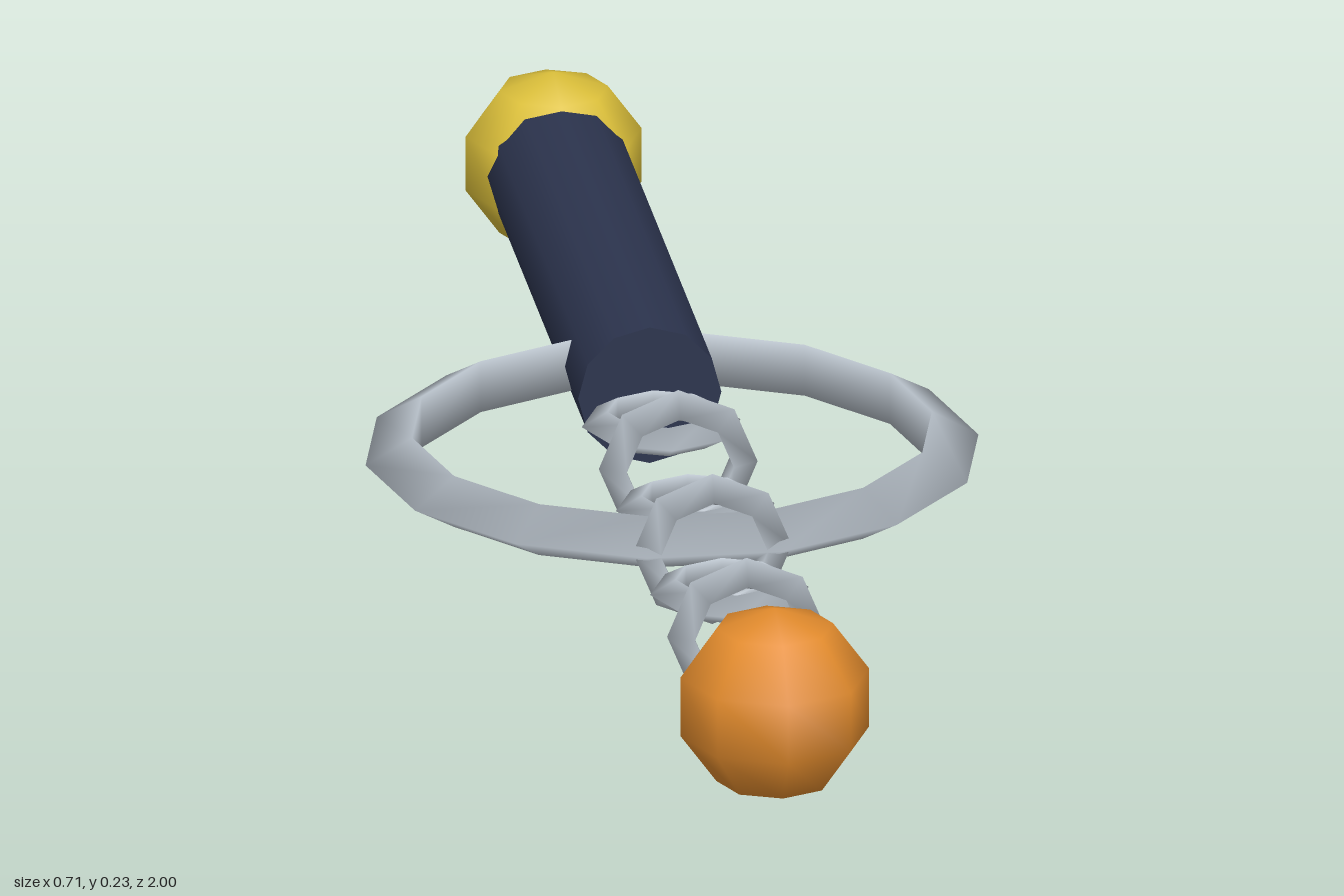
import * as THREE from 'three';

const material = (name, color) => {
  const m = new THREE.MeshStandardMaterial({ color });
  m.name = name;
  return m;
};

export function createModel() {
  const group = new THREE.Group();
  const orange = material('orange', 0xe28b2d);
  const yellow = material('yellow', 0xdbbf3a);
  const navy = material('navy', 0x2c344e);
  const silver = material('silver', 0xb9c2cb);
  const axisY = 0.115;

  // Every part sits on one axis running front to back
  const add = (name, geometry, mat, z, tilt = 0) => {
    const mesh = new THREE.Mesh(geometry, mat);
    mesh.name = name;
    mesh.position.set(0, axisY, z);
    mesh.rotation.x = tilt;
    group.add(mesh);
  };

  // Handle with its end knob
  add('handle', new THREE.CylinderGeometry(0.083, 0.083, 0.78, 12), navy, -0.51, Math.PI / 2);
  add('pommel', new THREE.SphereGeometry(0.107, 8, 5), yellow, -0.897);

  // Large flat ring, triangular in section
  add('guardRing', new THREE.TorusGeometry(0.319, 0.036, 3, 14), silver, 0.06, Math.PI / 2);

  // Chain links, alternately lying flat and standing
  const link = new THREE.TorusGeometry(0.072, 0.02, 3, 8);
  for (let i = 0; i < 6; i++) {
    add(`chainLink${i + 1}`, link, silver, -0.028 + i * 0.138, i % 2 ? 0 : Math.PI / 2);
  }

  // Weight at the end of the chain
  add('chainBall', new THREE.SphereGeometry(0.115, 8, 5), orange, 0.89);

  return group;
}
